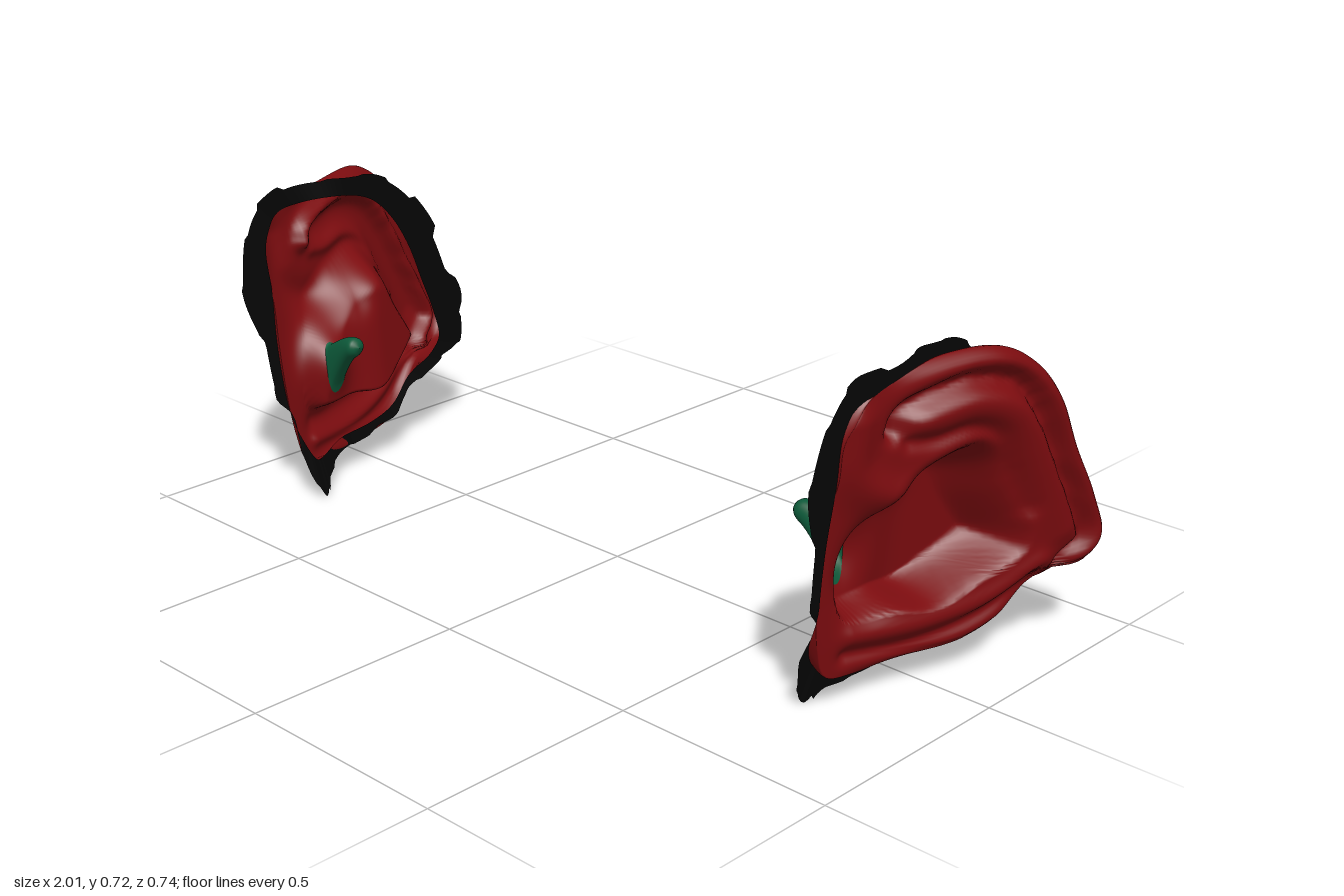
import * as THREE from 'three';

const N = 160; // points around each loop
const mix = THREE.MathUtils.lerp;
const step = (a, b, v) => THREE.MathUtils.smoothstep(v, a, b);

// Paired loops around the ear: rim z, y, attachment z, y, skirt width
const LOOP = [
  [.285, .50, .285, .50, .085], [.285, .60, .285, .61, .065], [.25, .66, .25, .665, .055],
  [.16, .70, .16, .68, .052], [.05, .72, .05, .68, .045], [-.06, .715, -.03, .655, .06],
  [-.145, .665, -.09, .60, .075], [-.21, .59, -.14, .52, .085], [-.27, .47, -.18, .42, .09],
  [-.335, .35, -.215, .33, .09], [-.37, .255, -.23, .26, .075], [-.34, .205, -.20, .225, .035],
  [-.22, .185, -.12, .19, .03], [-.14, .11, -.05, .135, .03], [-.07, .08, .03, .11, .03],
  [.05, .073, .12, .10, .035], [.18, .073, .20, .085, .045], [.245, .085, .235, .09, .10],
  [.27, .15, .27, .15, .03], [.285, .25, .285, .26, .03], [.29, .38, .29, .38, .035],
];

// Closed or open smooth curve through [z, y] points
function curve(points, closed, n) {
  const c = new THREE.CatmullRomCurve3(points.map(([z, y]) => new THREE.Vector3(0, y, z)), closed, 'centripetal');
  return Array.from({ length: n }, (_, i) => c.getPoint(i / (closed ? n : n - 1)));
}

const distance = (line, z, y) => {
  let best = Infinity;
  for (const p of line) best = Math.min(best, (p.z - z) ** 2 + (p.y - y) ** 2);
  return Math.sqrt(best);
};

function inside(loop, z, y) {
  let hit = false;
  loop.forEach((a, i) => {
    const b = loop[(i + 1) % loop.length];
    if ((a.y > y) !== (b.y > y) && z < (b.z - a.z) * (y - a.y) / (b.y - a.y) + a.z) hit = !hit;
  });
  return hit;
}

// Loft closed rings of N points
function loft(rings) {
  const pos = [], index = [];
  rings.forEach(r => r.forEach(p => pos.push(p.x, p.y, p.z)));
  for (let r = 0; r < rings.length - 1; r++) {
    for (let i = 0; i < N; i++) {
      const j = (i + 1) % N, a = r * N + i, b = r * N + j, c = a + N, d = b + N;
      index.push(a, c, b, b, c, d);
    }
  }
  const g = new THREE.BufferGeometry();
  g.setAttribute('position', new THREE.Float32BufferAttribute(pos, 3));
  g.setIndex(index);
  g.computeVertexNormals();
  return g;
}

const rim = curve(LOOP, true, N);
const base = curve(LOOP.map(r => [r[2], r[3]]), true, N);
const widths = curve(LOOP.map(r => [r[4], 0]), true, N).map(p => p.z);

// Sculpting strokes: path, width, height (negative is a groove)
const STROKES = [
  // groove under the rim
  [[[.165, .59], [.155, .62], [.1, .645], [0, .662], [-.1, .635], [-.17, .55], [-.23, .44], [-.29, .33], [-.315, .265], [-.27, .22]], .022, -.035],
  // inner fold and its lower groove
  [[[.1, .605], [0, .615], [-.1, .57], [-.18, .44], [-.24, .3]], .035, .012],
  [[[.13, .56], [.08, .555], [0, .565], [-.06, .54], [-.11, .46], [-.16, .36]], .018, -.015],
  // ridge running from the front of the rim into the bowl
  [[[.26, .62], [.25, .52], [.18, .46], [.06, .44]], .04, .02],
  // ridge below the bowl, groove above the lobe
  [[[.2, .165], [.05, .16], [-.1, .185], [-.2, .235]], .025, .012],
  [[[.2, .12], [.05, .115], [-.08, .14], [-.2, .205]], .02, -.015],
].map(([p, w, h]) => [curve(p, false, 60), w, h]);

const bowl = curve([[.22, .2], [.1, .19], [.02, .182], [-.08, .22], [-.17, .265], [-.178, .3], [-.15, .4],
  [-.1, .5], [-.03, .545], [.06, .53], [.13, .5], [.2, .42], [.235, .32]], true, 150);

const CZ = .175, CY = .305; // ear canal
const plane = (z, y) => .91 - .34 * z + .12 * (y - .4);

// Outward x of the sculpted face
function faceX(z, y) {
  let x = plane(z, y);
  for (const [line, w, h] of STROKES) x += h * Math.exp(-((distance(line, z, y) / w) ** 2));
  if (inside(bowl, z, y)) {
    const soft = mix(.035, .1, step(.2, .42, y));
    x -= mix(.12, .055, step(0, .2, z)) * step(0, soft, distance(bowl, z, y));
  }
  const funnel = Math.exp(-(((z - CZ) / .055) ** 2) - ((y - CY) / .08) ** 2);
  x = mix(x, .735, funnel);
  const edge = 1 - Math.min(distance(rim, z, y) / .035, 1);
  return x - .03 * edge * edge * (1 - step(.05, .25, z));
}

// x of the line where the ear meets the head
const baseX = (z, y) => mix(.845, plane(Math.min(z, .27), y), step(.05, .25, z))
  - .035 * (1 - step(.08, .25, y)) - .02 * (1 - step(.01, .08, y));

const hole = rim.map(p => {
  const a = Math.atan2(p.y - CY, p.z - CZ);
  return new THREE.Vector3(0, CY + .06 * Math.sin(a), CZ + .026 * Math.cos(a));
});

function auricleGeometry() {
  const rings = [], F = 64, B = 14;
  for (let k = 0; k <= F; k++) {
    rings.push(rim.map((p, i) => {
      const q = hole[i].clone().lerp(p, k / F);
      return q.setX(faceX(q.z, q.y));
    }));
  }
  // back shell from the rim to the head
  const edge = rings[F];
  for (let k = 1; k <= B; k++) {
    const t = k / B;
    rings.push(edge.map((p, i) => {
      const q = p.clone().lerp(base[i], t * t * (1.6 - .6 * t));
      return q.setX(mix(p.x, baseX(base[i].z, base[i].y), t));
    }));
  }
  return loft(rings);
}

// Tapered canal, bending up and inward to a rounded tip
function canalGeometry() {
  const rings = [], K = 20;
  const start = hole.map(p => p.clone().setX(faceX(p.z, p.y)));
  for (let k = 0; k <= K; k++) {
    const t = k / K, cap = Math.sqrt(Math.max(0, 1 - Math.max(0, (t - .8) / .2) ** 2));
    const cy = CY + .075 * Math.sin(t * Math.PI / 2);
    const ry = mix(.06, .02, Math.sqrt(t)) / .06 * cap, rz = mix(1, .85, t) * cap;
    rings.push(start.map(p => new THREE.Vector3(mix(p.x, .652, t),
      cy + (p.y - CY) * ry, CZ + .005 * t + (p.z - CZ) * rz)));
  }
  return loft(rings);
}

// Ragged flat band lying against the head
function skirtGeometry() {
  const ragged = [1, .9, 1.08, .85, .95];
  const inner = base.map(p => p.clone().setX(baseX(p.z, p.y)));
  const outer = base.map((p, i) => {
    const d = new THREE.Vector3(0, p.y - .38, (p.z - .04) * step(.08, .22, p.y)).normalize();
    const q = p.clone().addScaledVector(d, widths[i] * ragged[Math.floor(i / 7) % ragged.length]);
    q.y = Math.max(q.y, 0);
    return q.setX(baseX(q.z, q.y));
  });
  return loft([inner, outer]);
}

export function createModel() {
  const model = new THREE.Group();
  model.name = 'earPair';
  const parts = [
    ['auricle', auricleGeometry(), 0x7c0c0f],
    ['earCanal', canalGeometry(), 0x0d5a3a],
    ['attachmentSkirt', skirtGeometry(), 0x060606],
  ].map(([name, geometry, color]) => [name, geometry, new THREE.MeshStandardMaterial({ color, side: THREE.DoubleSide })]);

  for (const [side, label] of [[1, 'leftEar'], [-1, 'rightEar']]) {
    const ear = new THREE.Group();
    ear.name = label;
    for (const [name, geometry, material] of parts) {
      const mesh = new THREE.Mesh(geometry, material);
      mesh.name = name;
      ear.add(mesh);
    }
    ear.scale.x = side;
    model.add(ear);
  }
  return model;
}
